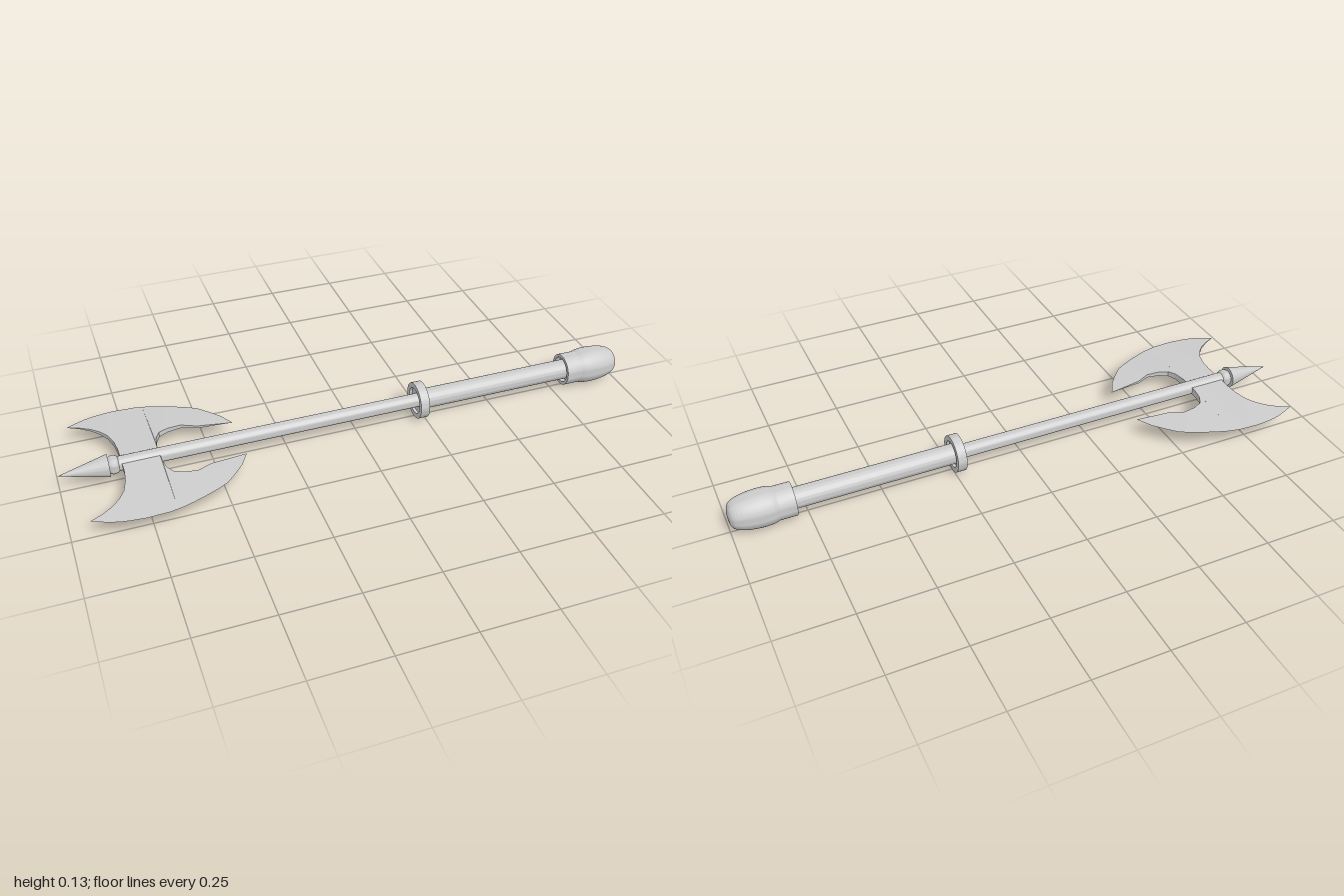
import * as THREE from 'three';
import { toCreasedNormals } from 'three/addons/utils/BufferGeometryUtils.js';

const AXIS_Y = 0.064;

export function createModel() {
  const model = new THREE.Group();
  model.name = 'doubleAxe';
  const material = new THREE.MeshStandardMaterial({ color: 0xcccccc });

  const add = (name, geometry) => {
    const mesh = new THREE.Mesh(geometry, material);
    mesh.name = name;
    mesh.position.y = AXIS_Y;
    model.add(mesh);
    return mesh;
  };

  // Turned part along x: profile given as [x, radius], running towards +x
  const turned = (name, profile, crease = 0.6) => {
    const points = profile.map(([x, r]) => new THREE.Vector2(r, x));
    const geometry = new THREE.LatheGeometry(points, 40);
    geometry.rotateZ(-Math.PI / 2);
    return add(name, toCreasedNormals(geometry, crease));
  };

  // Spear point and the small collar behind it
  turned('spike', [[-1, 0], [-0.838, 0.038], [-0.838, 0]]);
  turned('spikeCollar', [
    [-0.842, 0.02], [-0.836, 0.027], [-0.828, 0.031], [-0.817, 0.031],
    [-0.809, 0.027], [-0.804, 0.02],
  ], 1);

  // Shaft, hand guard and grip
  turned('shaft', [[-0.815, 0], [-0.815, 0.024], [0.24, 0.024], [0.24, 0]]);
  turned('guardRing', [
    [0.23, 0], [0.23, 0.046], [0.219, 0.046], [0.219, 0.064],
    [0.251, 0.064], [0.251, 0.046], [0.24, 0.046], [0.24, 0],
  ]);
  turned('grip', [[0.236, 0], [0.236, 0.035], [0.82, 0.035], [0.82, 0]]);

  // Pommel: recessed socket, then a rounded bulb
  turned('pommelSocket', [
    [0.81, 0.03], [0.81, 0.045], [0.79, 0.045], [0.79, 0.056], [0.85, 0.056],
  ]);
  const bulb = new THREE.SplineCurve([
    [0.846, 0.056], [0.865, 0.061], [0.895, 0.063], [0.935, 0.06],
    [0.97, 0.052], [0.99, 0.04], [0.998, 0.022], [1, 0],
  ].map(([x, r]) => new THREE.Vector2(x, r)));
  turned('pommel', bulb.getPoints(32).map((p) => [p.x, Math.max(p.y, 0)]), 1);

  // Two matching blades on opposite sides of the shaft
  const blade = bladeGeometry();
  add('bladeFront', blade);
  add('bladeBack', blade).rotation.x = Math.PI;

  return model;
}

// Wedge lofted from a thick inner outline to a sharp cutting edge.
// Each rib is [inner x, inner z, edge x, edge z].
function bladeGeometry() {
  const ribs = [
    [-0.936, 0.251, -0.936, 0.251],
    [-0.895, 0.232, -0.905, 0.265],
    [-0.861, 0.209, -0.872, 0.278],
    [-0.835, 0.182, -0.845, 0.285],
    [-0.815, 0.15, -0.822, 0.289],
    [-0.802, 0.105, -0.8, 0.291],
    [-0.797, 0.06, -0.78, 0.293],
    [-0.797, 0, -0.765, 0.293],
    [-0.674, 0, -0.7, 0.29],
    [-0.673, 0.04, -0.675, 0.285],
    [-0.667, 0.08, -0.65, 0.279],
    [-0.652, 0.108, -0.618, 0.268],
    [-0.62, 0.123, -0.58, 0.253],
    [-0.575, 0.128, -0.535, 0.233],
    [-0.545, 0.115, -0.5, 0.213],
    [-0.525, 0.106, -0.47, 0.182],
    [-0.47, 0.099, -0.435, 0.142],
    [-0.406, 0.09, -0.406, 0.09],
  ];
  const last = ribs.length - 1;
  const rows = ribs.map(([ix, iz, ex, ez], i) => {
    // Thickness falls off away from the blade's centre
    const reach = Math.hypot(ix + 0.73, iz) / 0.325;
    const h = i === 0 || i === last ? 0 : 0.016 * Math.max(0, 1 - reach);
    return { top: [ix, h, iz], bottom: [ix, -h, iz], edge: [ex, 0, ez] };
  });

  const positions = [];
  const tri = (...corners) => corners.forEach((c) => positions.push(...c));
  for (let i = 0; i < last; i++) {
    const a = rows[i];
    const b = rows[i + 1];
    // Upper and lower bevels
    tri(a.top, a.edge, b.edge);
    tri(a.top, b.edge, b.top);
    tri(a.bottom, b.edge, a.edge);
    tri(a.bottom, b.bottom, b.edge);
    // Inner rim
    tri(a.top, b.top, b.bottom);
    tri(a.top, b.bottom, a.bottom);
  }
  const geometry = new THREE.BufferGeometry();
  geometry.setAttribute('position', new THREE.Float32BufferAttribute(positions, 3));
  return toCreasedNormals(geometry, 0.4);
}
